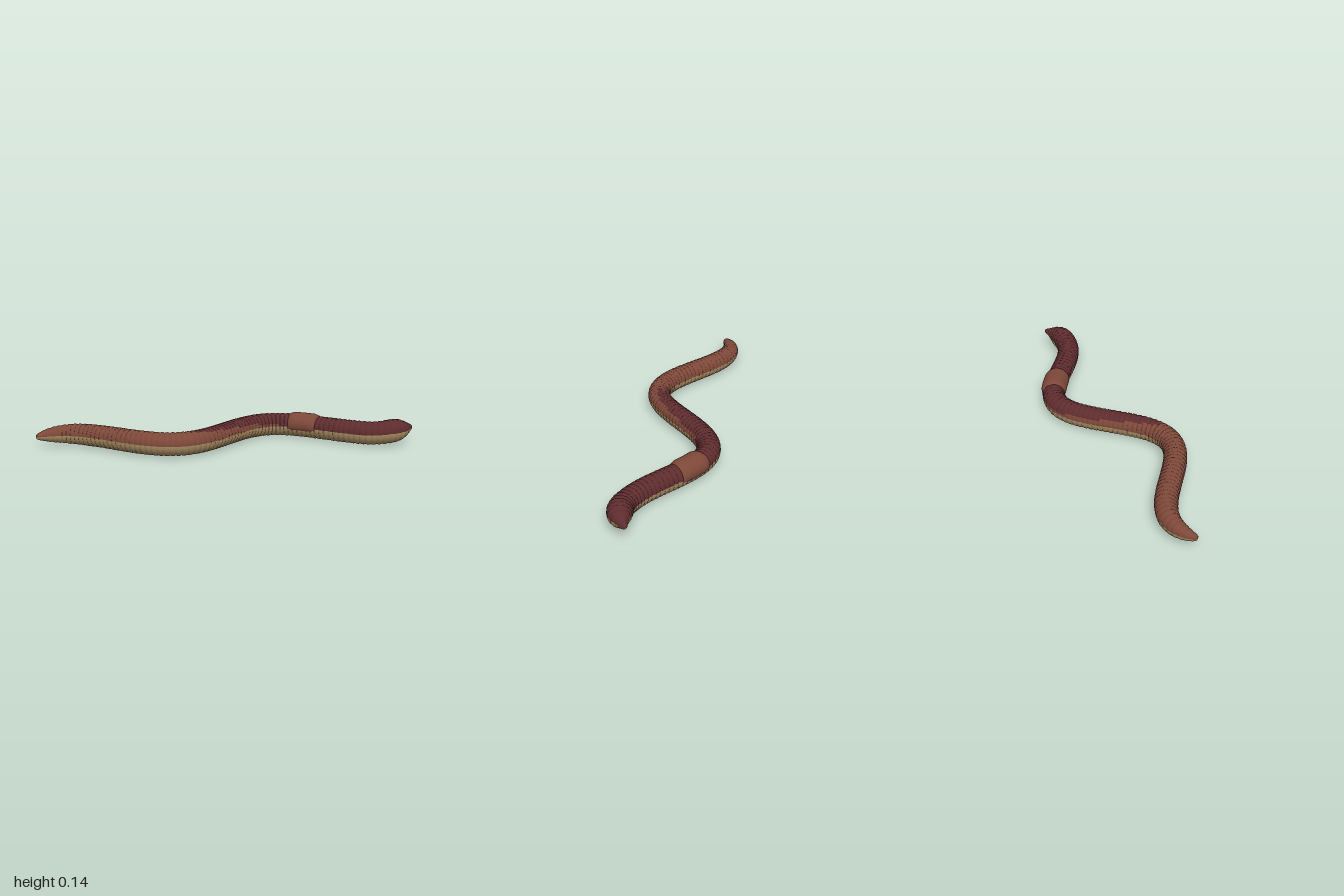
import * as THREE from 'three';

const SIDES = 28, SEGMENTS = 84, TAU = Math.PI * 2;

// Piecewise smooth interpolation through [x, value] knots
function knots(table, x) {
  if (x <= table[0][0]) return table[0][1];
  for (let i = 1; i < table.length; i++) {
    const [x0, v0] = table[i - 1], [x1, v1] = table[i];
    if (x <= x1) return v0 + (v1 - v0) * (x - x0) / (x1 - x0);
  }
  return table[table.length - 1][1];
}

const RADIUS = [[-1, 0.013], [-0.985, 0.021], [-0.95, 0.033], [-0.9, 0.044], [-0.82, 0.054], [-0.72, 0.059],
  [-0.5, 0.061], [0.3, 0.0625], [0.78, 0.0625], [0.87, 0.0645], [0.91, 0.058], [0.94, 0.045],
  [0.965, 0.029], [0.985, 0.018], [0.995, 0.012], [1, 0.007]];
const HEIGHT = [[-1, 0.063], [0.76, 0.0625], [0.88, 0.076], [0.95, 0.08], [1, 0.082]];

// Winding centre line, tail at -x and head at +x
function makeSpine() {
  const points = [];
  for (let i = 0; i <= 60; i++) {
    const x = -1 + 2 * i / 60;
    points.push(new THREE.Vector3(x, knots(HEIGHT, x), -0.172 * Math.cos(TAU * (x - 0.28) / 1.15)));
  }
  const curve = new THREE.CatmullRomCurve3(points);
  curve.arcLengthDivisions = 600;
  return curve;
}

// Sweeps an arc of SIDES steps along the spine; pick(x, j) chooses the material index
function sweep(spine, stations, a0, a1, radiusAt, pick, materials, capped) {
  const pos = [], xs = [], lists = materials.map(() => []);
  const closed = a1 - a0 > 6.28, row = closed ? SIDES : SIDES + 1;
  for (const u of stations) {
    const p = spine.getPointAt(u), t = spine.getTangentAt(u).setY(0).normalize();
    xs.push(p.x);
    for (let j = 0; j < row; j++) {
      const a = a0 + (a1 - a0) * j / SIDES, r = radiusAt(p.x, u, j / SIDES);
      pos.push(p.x + t.z * Math.cos(a) * r, p.y + Math.sin(a) * r, p.z - t.x * Math.cos(a) * r);
    }
  }
  for (let i = 0; i < stations.length - 1; i++) {
    for (let j = 0; j < SIDES; j++) {
      const k = (j + 1) % row;
      const a = i * row + j, d = i * row + k, b = a + row, c = d + row;
      lists[pick((xs[i] + xs[i + 1]) / 2, j)].push(a, d, b, d, c, b);
    }
  }
  if (capped) {
    const n = stations.length - 1;
    [0, n].forEach((i) => {
      const p = spine.getPointAt(stations[i]), centre = pos.length / 3;
      pos.push(p.x, p.y, p.z);
      for (let j = 0; j < SIDES; j++) {
        const a = i * row + j, b = i * row + (j + 1) % row;
        lists[pick(xs[i], j)].push(...(i === 0 ? [centre, b, a] : [centre, a, b]));
      }
    });
  }
  const geo = new THREE.BufferGeometry();
  geo.setAttribute('position', new THREE.Float32BufferAttribute(pos, 3));
  geo.setIndex(lists.flat());
  let start = 0;
  lists.forEach((list, m) => {
    if (list.length) geo.addGroup(start, list.length, m);
    start += list.length;
  });
  geo.computeVertexNormals();
  return new THREE.Mesh(geo, materials);
}

export function createModel() {
  const material = (name, color, side = THREE.FrontSide) => {
    const m = new THREE.MeshStandardMaterial({ color, side });
    m.name = name;
    return m;
  };
  const darkBack = material('dark red back', 0x5e2c2e);
  const brownBack = material('red brown back', 0x7d4839, THREE.DoubleSide);
  const belly = material('tan belly', 0xa88b62);

  const group = new THREE.Group();
  group.name = 'earthworm';
  const spine = makeSpine();

  // Ringed body: each segment bulges between two narrow grooves
  const steps = [[0, 0.925], [0.1, 0.965], [0.28, 0.995], [0.5, 1], [0.72, 0.995], [0.9, 0.965]];
  const stations = [], bulge = new Map();
  for (let s = 0; s < SEGMENTS; s++) {
    for (const [f, scale] of steps) {
      const u = (s + f) / SEGMENTS;
      stations.push(u);
      bulge.set(u, scale);
    }
  }
  stations.push(1);
  bulge.set(1, 0.925);

  // Dark back starts as a strip on the spine and widens towards the head
  const darkLimit = [[-0.24, 1.01], [-0.12, 0.8], [0.05, 0.5], [0.2, 0.3], [0.35, 0.08]];
  const bodyColour = (x, j) => {
    const h = Math.sin((j + 0.5) / SIDES * TAU);
    if (x > 0.968 && h < 0.1 && h > -0.8) return 1; // mouth under the tip
    if (h < 0) return 2;
    return h > knots(darkLimit, x) ? 0 : 1;
  };
  const body = sweep(spine, stations, 0, TAU, (x, u) => knots(RADIUS, x) * bulge.get(u),
    bodyColour, [darkBack, brownBack, belly], true);
  body.name = 'ringedBody';
  group.add(body);

  // Smooth saddle band wrapped over the back
  const uAtX = (x) => {
    let lo = 0, hi = 1;
    for (let i = 0; i < 30; i++) {
      const mid = (lo + hi) / 2;
      if (spine.getPointAt(mid).x < x) lo = mid; else hi = mid;
    }
    return lo;
  };
  const u0 = uAtX(0.385), u1 = uAtX(0.525), saddleStations = [];
  for (let i = 0; i <= 16; i++) saddleStations.push(u0 + (u1 - u0) * i / 16);
  const saddleRadius = (x, u, v) => {
    const along = Math.min(1, 5 * Math.min(u - u0, u1 - u) / (u1 - u0));
    const around = Math.min(1, 6 * Math.min(v, 1 - v));
    return 0.058 + 0.0145 * Math.sqrt(Math.max(0, along)) * (0.35 + 0.65 * Math.sqrt(Math.max(0, around)));
  };
  const saddle = sweep(spine, saddleStations, -0.25, Math.PI + 0.25, saddleRadius, () => 0, [brownBack], false);
  saddle.name = 'saddleBand';
  group.add(saddle);

  return group;
}
